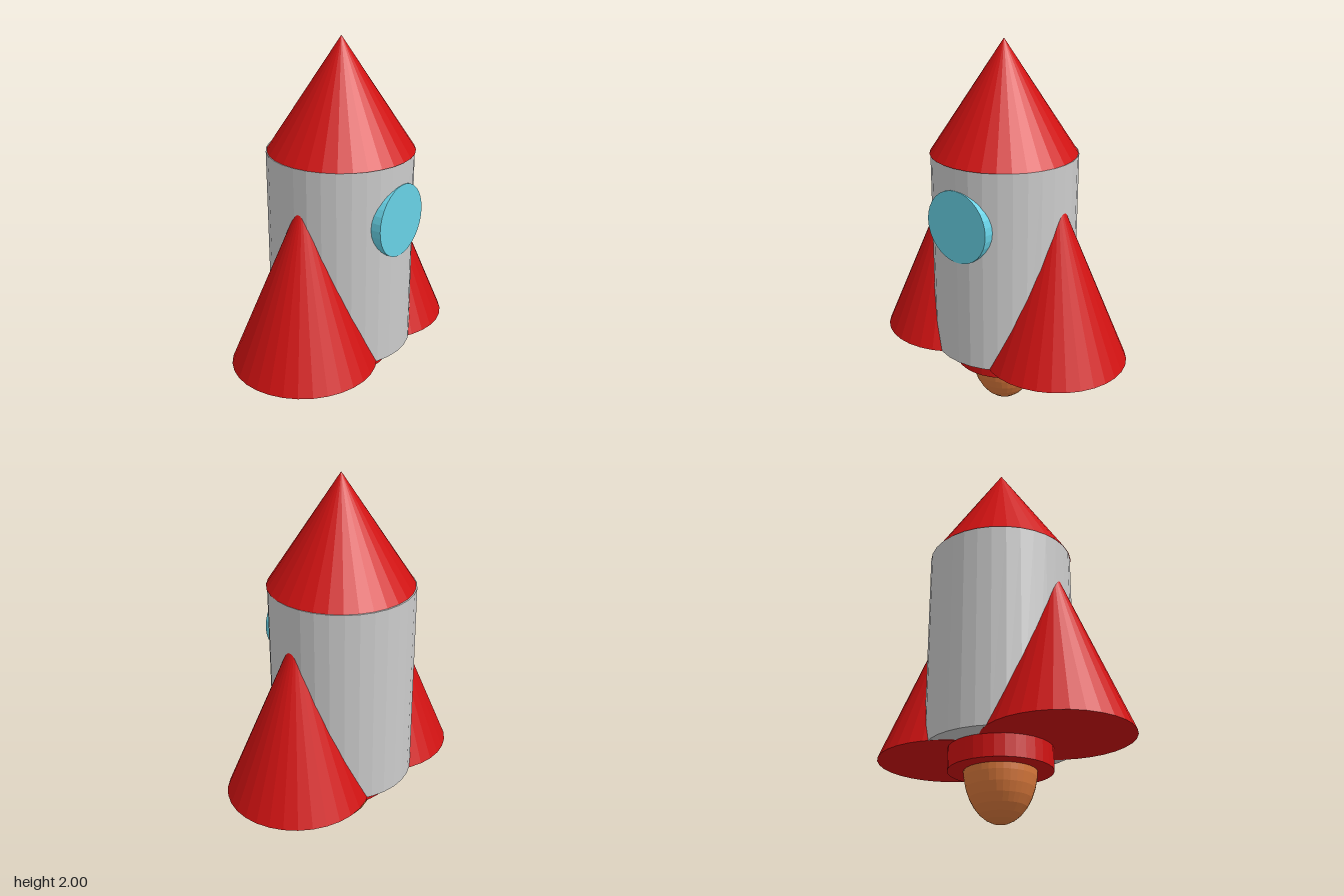
import * as THREE from 'three';

const SEGMENTS = 32;
const RADIUS = 0.377;

const material = (color) => new THREE.MeshStandardMaterial({ color, flatShading: true });

export function createModel() {
  const rocket = new THREE.Group();
  rocket.name = 'rocket';
  const grey = material(0xcccccc);
  const red = material(0xd21212);
  const blue = material(0x68d2e6);
  const orange = material(0xdc7a3c);

  const add = (name, geometry, mat, x, y, z) => {
    const mesh = new THREE.Mesh(geometry, mat);
    mesh.name = name;
    mesh.position.set(x, y, z);
    rocket.add(mesh);
    return mesh;
  };
  // Upright cylinder or cone spanning y0 to y1
  const upright = (name, mat, topRadius, bottomRadius, y0, y1, x, z) =>
    add(name, new THREE.CylinderGeometry(topRadius, bottomRadius, y1 - y0, SEGMENTS), mat, x, (y0 + y1) / 2, z);
  const cone = (name, radius, y0, y1, x, z) =>
    add(name, new THREE.ConeGeometry(radius, y1 - y0, SEGMENTS), red, x, (y0 + y1) / 2, z);

  // Hull and nose
  upright('body', grey, RADIUS, RADIUS, 0.371, 1.428, 0, -0.012);
  cone('noseCone', RADIUS, 1.429, 2, 0, -0.005);

  // Side boosters, partly sunk into the hull
  cone('rightBooster', RADIUS, 0.37, 1.27, -0.342, 0.01);
  cone('leftBooster', RADIUS, 0.37, 1.27, 0.338, -0.014);

  // Engine ring and exhaust flame
  upright('engineRing', red, 0.263, 0.263, 0.257, 0.42, -0.002, -0.012);
  const flame = add('flame', new THREE.SphereGeometry(1, SEGMENTS, 16), orange, 0, 0.28, -0.011);
  flame.scale.set(0.184, 0.28, 0.184);

  // Round window in the front of the hull
  const porthole = add('window', new THREE.CylinderGeometry(0.188, 0.188, 0.2, SEGMENTS), blue, 0, 1.126, 0.267);
  porthole.rotation.x = Math.PI / 2;

  return rocket;
}
